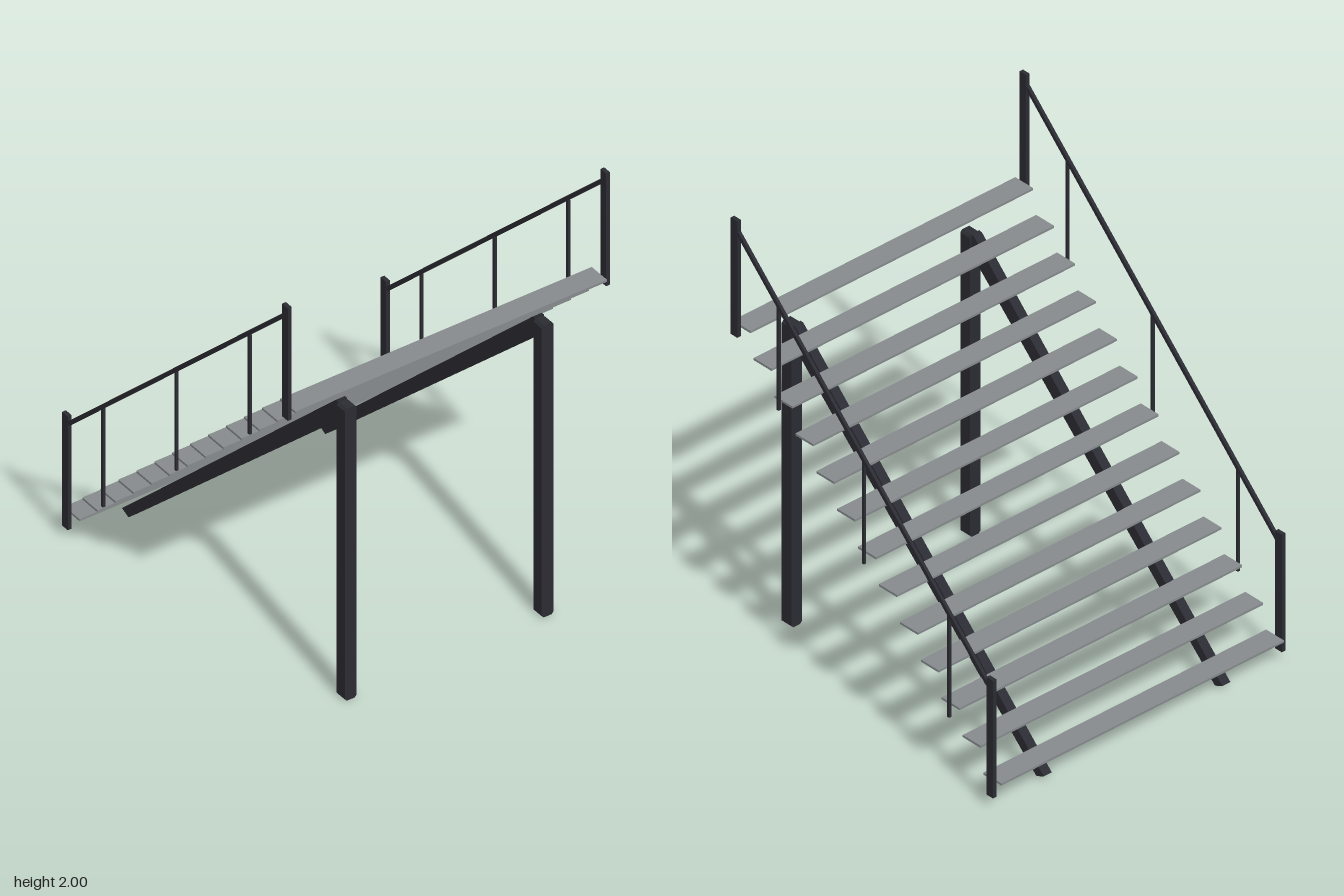
import * as THREE from 'three';

export function createModel() {
  const model = new THREE.Group();
  const frameMat = new THREE.MeshStandardMaterial({ color: 0x2b2b33 });
  frameMat.name = 'dark frame';
  const treadMat = new THREE.MeshStandardMaterial({ color: 0x868b8e });
  treadMat.name = 'grey tread';

  const add = (name, geometry, material, x, y, z) => {
    const mesh = new THREE.Mesh(geometry, material);
    mesh.name = name;
    mesh.position.set(x, y, z);
    model.add(mesh);
    return mesh;
  };
  const box = (name, mat, w, h, d, x, y, z) =>
    add(name, new THREE.BoxGeometry(w, h, d), mat, x, y, z);
  const extrude = (points, depth) =>
    new THREE.ExtrudeGeometry(
      new THREE.Shape(points.map(([a, b]) => new THREE.Vector2(a, b))),
      { depth, bevelEnabled: false }
    ).translate(0, 0, -depth / 2);

  // Thirteen floating treads, rising toward the front
  const steps = 13;
  for (let i = 0; i < steps; i++) {
    const t = i / (steps - 1);
    box('tread', treadMat, 1.472, 0.01, 0.102, 0, 0.113 + 1.386 * t, -0.718 + 1.436 * t);
  }

  for (const side of [-1, 1]) {
    // Tall support post with clipped corners
    const w = 0.028, c = 0.01, h = 1.4;
    add('supportPost', extrude([
      [-w, c], [-w + c, 0], [w - c, 0], [w, c],
      [w, h - c], [w - c, h], [-w + c, h], [-w, h - c],
    ], 0.055), frameMat, side * 0.465, 0, 0.728);

    // Sloping stringer, profile drawn in (-z, y)
    const stringer = add('stringer', extrude([
      [-0.70, 1.405], [-0.70, 1.315], [0.695, 0.003], [0.737, 0.022], [-0.685, 1.402],
    ], 0.042), frameMat, side * 0.465, 0, 0);
    stringer.rotation.y = Math.PI / 2;

    // Railing end posts
    const x = side * 0.752;
    box('upperRailPost', frameMat, 0.018, 0.54, 0.038, x, 1.73, 0.734);
    box('lowerRailPost', frameMat, 0.018, 0.545, 0.038, x, 0.322, -0.73);

    // Handrail
    const rise = 1.385, run = 1.43;
    const rail = box('handrail', frameMat, 0.014, 0.018, Math.hypot(rise, run), x, 1.25, 0.002);
    rail.rotation.x = -Math.atan2(rise, run);

    // Thin balusters
    for (const k of [-1, 0, 1]) {
      box('baluster', frameMat, 0.012, 0.475, 0.012, x, 1.003 + 0.47 * k, 0.488 * k);
    }
  }
  return model;
}
